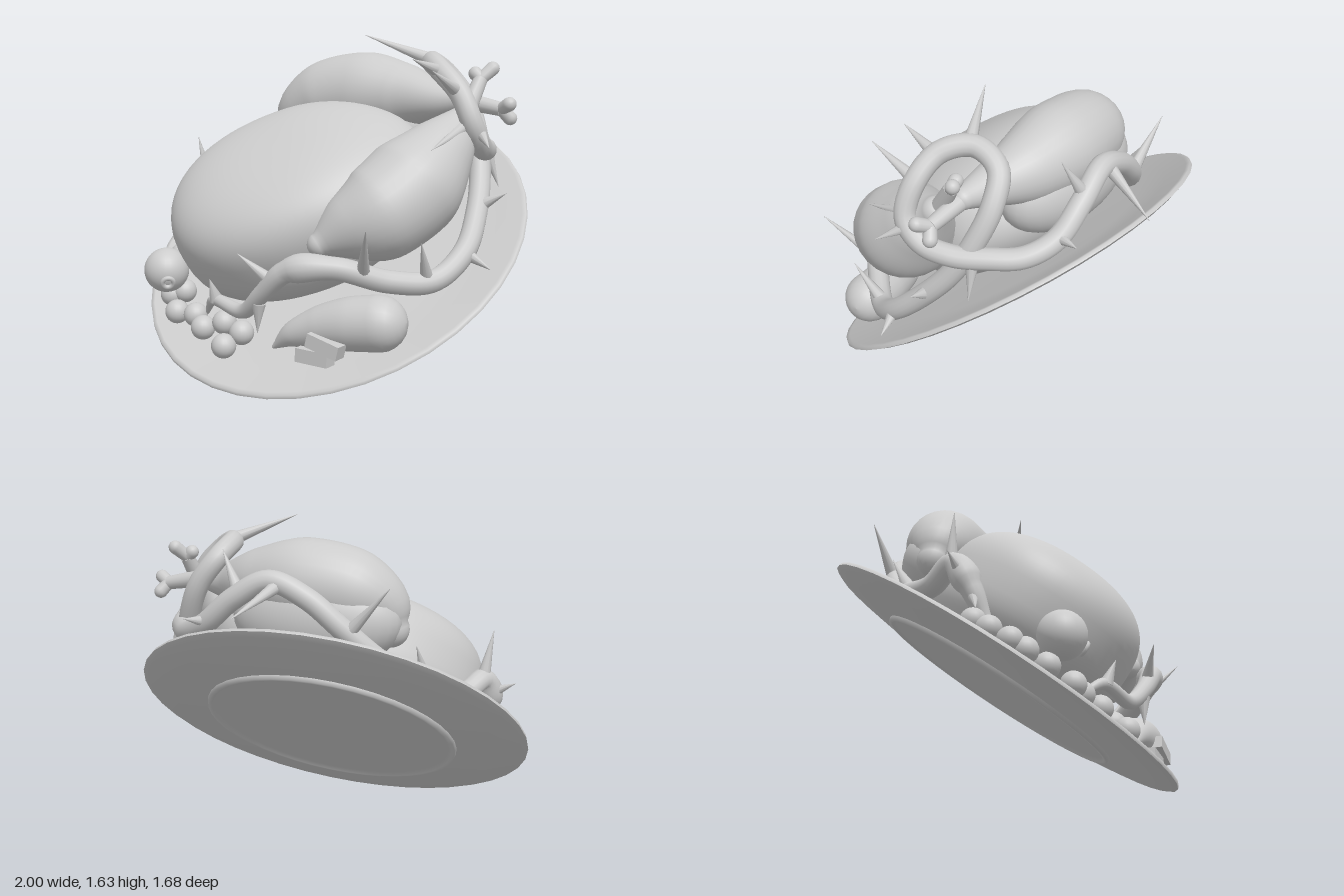
import * as THREE from 'three';
import { mergeVertices } from 'three/addons/utils/BufferGeometryUtils.js';

const grey = new THREE.MeshStandardMaterial({ color: 0xcccccc });
const twoSided = new THREE.MeshStandardMaterial({ color: 0xcccccc, side: THREE.DoubleSide });
const V = (p) => new THREE.Vector3(...p);

function add(parent, name, geometry, position = [0, 0, 0], material = grey) {
  const mesh = new THREE.Mesh(geometry, material);
  mesh.name = name;
  mesh.position.set(...position);
  parent.add(mesh);
  return mesh;
}

// Smooth round-ended tube through points [x, y, z, radius]
function loft(points, rows = 40, sides = 20) {
  const curve = new THREE.CatmullRomCurve3(points.map((p) => V(p)));
  const radii = new THREE.CatmullRomCurve3(points.map((p) => new THREE.Vector3(p[3], 0, 0)));
  const frames = curve.computeFrenetFrames(rows);
  const rings = [];
  const ring = (i, shift, scale) => {
    const u = i / rows;
    const r = radii.getPoint(curve.getUtoTmapping(u)).x;
    const c = curve.getPointAt(u).addScaledVector(frames.tangents[i], shift * r);
    rings.push({ c, r: r * scale, n: frames.normals[i], b: frames.binormals[i] });
  };
  const cap = 6;
  for (let k = 0; k < cap; k++) {
    const a = (k / cap) * Math.PI / 2;
    ring(0, -Math.cos(a), Math.max(Math.sin(a), 0.001));
  }
  for (let i = 0; i <= rows; i++) ring(i, 0, 1);
  for (let k = cap - 1; k >= 0; k--) {
    const a = (k / cap) * Math.PI / 2;
    ring(rows, Math.cos(a), Math.max(Math.sin(a), 0.001));
  }
  const pos = [], idx = [];
  rings.forEach(({ c, r, n, b }, j) => {
    for (let i = 0; i < sides; i++) {
      const a = (i / sides) * Math.PI * 2;
      const p = c.clone().addScaledVector(n, -Math.cos(a) * r).addScaledVector(b, Math.sin(a) * r);
      pos.push(p.x, p.y, p.z);
      if (j === 0) continue;
      const k = (i + 1) % sides, lo = (j - 1) * sides, hi = j * sides;
      idx.push(lo + i, hi + i, lo + k, hi + i, hi + k, lo + k);
    }
  });
  const g = new THREE.BufferGeometry();
  g.setAttribute('position', new THREE.Float32BufferAttribute(pos, 3));
  g.setIndex(idx);
  g.computeVertexNormals();
  return g;
}

// Cylinder or cone from a to b
function rod(parent, name, a, b, r0, r1, sides = 12) {
  const from = V(a), dir = V(b).sub(from);
  const mesh = add(parent, name, new THREE.CylinderGeometry(r1, r0, dir.length(), sides));
  mesh.position.copy(from).addScaledVector(dir, 0.5);
  mesh.quaternion.setFromUnitVectors(new THREE.Vector3(0, 1, 0), dir.normalize());
}

// Plump body with a broad, gently domed top, narrowing to the tail
function bodyGeometry() {
  let g = new THREE.SphereGeometry(1, 56, 40);
  g.deleteAttribute('uv');
  g.deleteAttribute('normal');
  g = mergeVertices(g, 1e-4);
  const p = g.attributes.position;
  const puff = (v, e) => Math.sign(v) * Math.abs(v) ** e;
  for (let i = 0; i < p.count; i++) {
    const rho = Math.hypot(p.getX(i), p.getZ(i)) || 1;
    const spread = rho ** 0.7;
    const x = puff(p.getX(i) / rho, 0.92) * spread;
    const z = puff(p.getZ(i) / rho, 0.92) * spread;
    const taper = x > 0 ? 1 - 0.2 * x * x : 1;
    p.setXYZ(i, (rho > 1e-3 ? x : 0) * 0.66, puff(p.getY(i), 0.72) * 0.34 * taper, (rho > 1e-3 ? z : 0) * 0.52 * taper);
  }
  g.computeVertexNormals();
  return g;
}

export function createModel() {
  const model = new THREE.Group();
  model.name = 'roastBirdPlatter';

  // Tilted plate with a recessed foot, and the body resting on it
  const platter = new THREE.Group();
  platter.name = 'platter';
  platter.position.set(0, 0.6, 0.03);
  platter.rotation.x = THREE.MathUtils.degToRad(36);
  model.add(platter);
  const sections = {
    plateFoot: [[0.001, -0.06], [0.61, -0.06], [0.625, -0.075], [0.645, -0.075], [0.65, -0.055]],
    plateUnderside: [[0.65, -0.055], [0.85, -0.038], [0.97, -0.018], [1, -0.004]],
    plateTop: [[1, -0.004], [0.995, 0.012], [0.975, 0.014], [0.85, -0.005], [0.66, -0.025], [0.001, -0.03]],
  };
  for (const [name, s] of Object.entries(sections)) {
    const profile = s.map((q) => new THREE.Vector2(...q));
    add(platter, name, new THREE.LatheGeometry(profile, 40), [0, 0, 0], twoSided);
  }
  add(platter, 'birdBody', bodyGeometry(), [-0.07, 0.3, 0]).rotation.y = 0.64;

  // Legs
  add(model, 'frontLeg', loft([
    [0.29, 0.7, 0.59, 0.06], [0.37, 0.76, 0.51, 0.15], [0.48, 0.83, 0.4, 0.225],
    [0.565, 0.94, 0.25, 0.24], [0.64, 1.11, 0.08, 0.165], [0.69, 1.25, -0.06, 0.07]], 40, 28));
  add(model, 'backLeg', loft([
    [-0.38, 1.13, -0.2, 0.09], [-0.33, 1.22, -0.2, 0.155], [-0.2, 1.3, -0.225, 0.205],
    [0.02, 1.335, -0.245, 0.218], [0.27, 1.33, -0.23, 0.17], [0.48, 1.32, -0.18, 0.095],
    [0.62, 1.33, -0.17, 0.055]], 40, 28));
  const thigh = add(model, 'backThigh', new THREE.SphereGeometry(1, 32, 20), [-0.02, 1.17, -0.25]);
  thigh.scale.set(0.43, 0.25, 0.22);

  // Leg bones with a pair of knuckles each
  [[[0.6, 1.33, -0.17], [0.83, 1.29, -0.16], [0.01, 0.035, 0.028]],
    [[0.68, 1.24, -0.06], [0.71, 1.43, -0.18], [0.035, 0.012, -0.022]]].forEach(([a, b, off]) => {
    rod(model, 'legBone', a, b, 0.046, 0.034, 16);
    const along = V(b).sub(V(a)).normalize();
    for (const s of [-1, 1]) {
      const end = V(b).addScaledVector(along, 0.045).addScaledVector(V(off), s);
      add(model, 'boneKnuckle', loft([[...b, 0.03], [...end.toArray(), 0.034]], 6, 14));
    }
  });

  // Thorny vine: along the front, around the leg ends, then round the back
  const r = 0.053;
  const vine = [
    [-0.41, 0.28, 0.54, 0.008], [-0.3, 0.375, 0.62, 0.028], [-0.08, 0.36, 0.68, 0.036],
    [0.06, 0.47, 0.72, 0.042], [0.2, 0.59, 0.72], [0.4, 0.61, 0.64], [0.58, 0.54, 0.47],
    [0.72, 0.53, 0.3], [0.79, 0.64, 0.14], [0.77, 0.8, -0.03], [0.72, 0.97, -0.17],
    [0.66, 1.15, -0.26], [0.58, 1.32, -0.3], [0.49, 1.45, -0.26], [0.48, 1.51, -0.12],
    [0.58, 1.48, 0], [0.71, 1.37, 0.04], [0.78, 1.22, 0.04], [0.78, 1.12, -0.05],
    [0.74, 1.09, -0.19], [0.66, 1.09, -0.33], [0.56, 1.1, -0.46], [0.43, 1.16, -0.54],
    [0.27, 1.29, -0.56], [0.1, 1.375, -0.54], [-0.08, 1.3, -0.52], [-0.24, 1.16, -0.48],
    [-0.4, 1.0, -0.38], [-0.58, 0.86, -0.22], [-0.7, 0.81, -0.05], [-0.77, 0.86, 0.08],
    [-0.78, 0.72, 0.17], [-0.74, 0.57, 0.22, 0.035],
  ].map((p) => (p.length === 3 ? [...p, r] : p));
  add(model, 'vine', loft(vine, 260, 14));

  // Thorns as base and tip
  [
    [[0.49, 1.52, -0.1], [0.2, 1.64, 0.05]], [[0.74, 1.22, 0.04], [0.72, 1.13, 0.34]],
    [[0.7, 1.38, 0.05], [0.7, 1.48, 0.3]], [[0.59, 1.47, 0.02], [0.56, 1.53, 0.23]],
    [[0.79, 1.2, 0], [0.9, 1.13, 0.12]], [[0.05, 1.36, -0.54], [0.15, 1.24, -0.84]],
    [[0.7, 1.08, -0.28], [0.76, 0.9, -0.3]], [[0.42, 1.17, -0.54], [0.47, 1.2, -0.68]],
    [[-0.77, 0.87, 0.07], [-0.81, 1.1, 0.1]], [[-0.79, 0.78, 0.13], [-0.92, 0.84, 0.12]],
    [[-0.78, 0.68, 0.18], [-0.84, 0.58, 0.22]], [[0.12, 0.53, 0.72], [-0.02, 0.66, 0.8]],
    [[0.5, 0.58, 0.56], [0.64, 0.82, 0.77]], [[0.7, 0.54, 0.33], [0.74, 0.73, 0.46]],
    [[0.8, 0.64, 0.14], [0.92, 0.57, 0.12]], [[0.78, 0.84, -0.06], [0.9, 0.9, -0.08]],
    [[-0.27, 1.15, -0.48], [-0.47, 1.36, -0.5]], [[0.25, 1.32, -0.55], [0.35, 1.51, -0.5]],
    [[-0.57, 0.9, -0.24], [-0.55, 1.08, -0.34]], [[-0.28, 0.38, 0.63], [-0.28, 0.49, 0.68]],
    [[0.04, 0.42, 0.72], [0.03, 0.28, 0.72]],
  ].forEach(([a, b]) => rod(model, 'thorn', a, b, 0.034, 0.001, 10));

  // Curved vegetable and two cut sticks
  add(model, 'curvedVegetable', loft([
    [0.08, 0.21, 0.655, 0.012], [0.17, 0.275, 0.64, 0.06], [0.3, 0.32, 0.605, 0.1],
    [0.45, 0.35, 0.575, 0.125], [0.58, 0.365, 0.55, 0.13]], 30, 24));
  [[0.39, 0.27, 0.7, -0.25], [0.32, 0.205, 0.68, -0.03]].forEach(([x, y, z, tilt]) => {
    add(model, 'cutStick', new THREE.BoxGeometry(0.17, 0.065, 0.07), [x, y, z]).rotation.z = tilt;
  });

  // Round fruit with a small crown
  const fruit = new THREE.Group();
  fruit.name = 'roundFruit';
  fruit.position.set(-0.66, 0.47, 0.55);
  model.add(fruit);
  add(fruit, 'fruitFlesh', new THREE.SphereGeometry(0.112, 28, 20));
  const crown = add(fruit, 'fruitCrown', new THREE.TorusGeometry(0.027, 0.012, 8, 18), [0.072, -0.045, 0.075]);
  crown.lookAt(crown.position.clone().multiplyScalar(2).add(fruit.position));

  // Berries lying on the plate
  [[-0.78, 0.55], [-0.8, 0.49], [-0.8, 0.42], [-0.76, 0.38], [-0.68, 0.33], [-0.62, 0.35], [-0.58, 0.27],
    [-0.46, 0.27], [-0.37, 0.23], [-0.27, 0.26], [-0.19, 0.18], [-0.14, 0.235]].forEach(([x, y]) => {
    const z = 0.03 + (0.05 - (y - 0.6) * 0.809) / 0.588;
    add(model, 'berry', new THREE.SphereGeometry(0.06, 20, 14), [x, y, z]);
  });

  return model;
}
